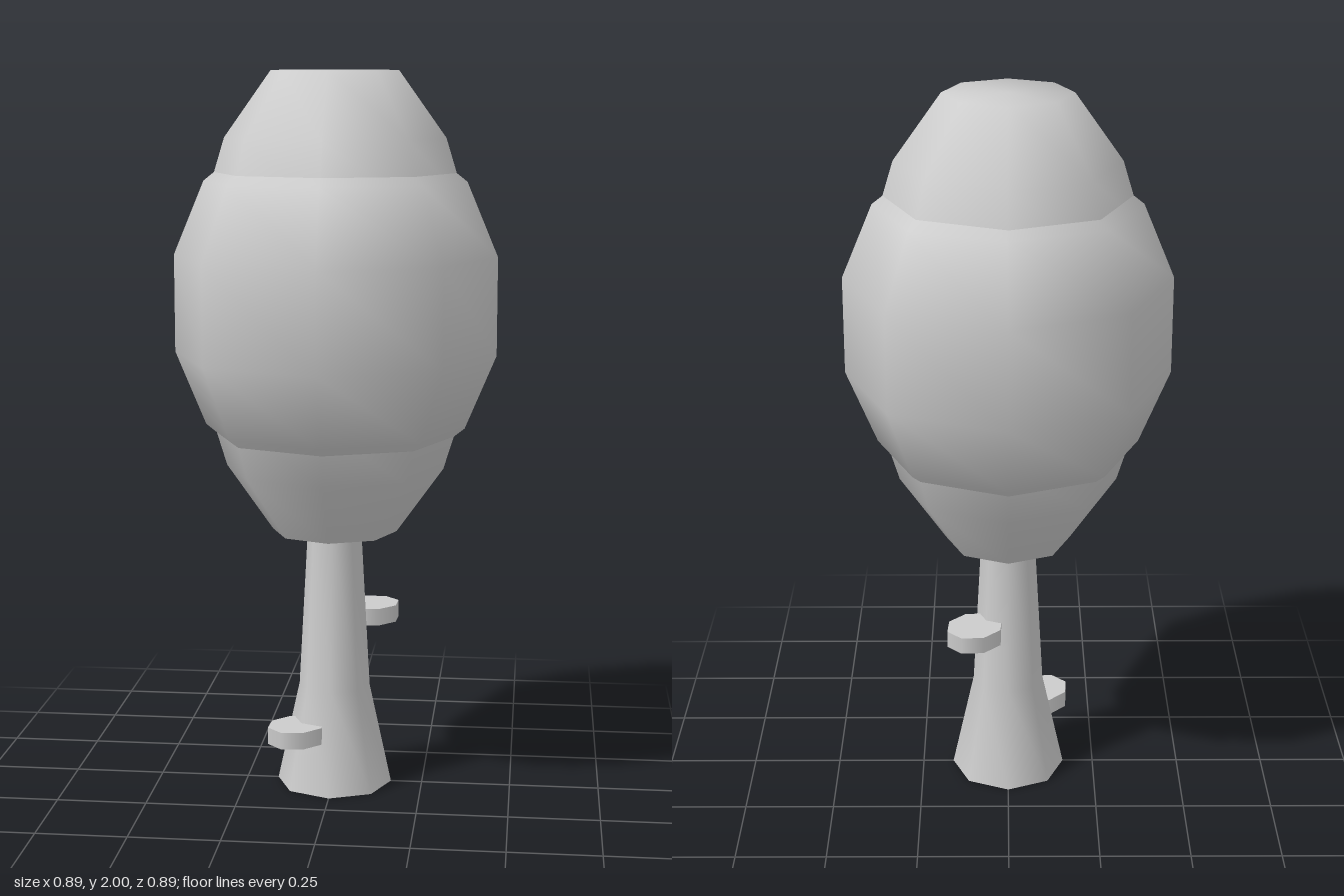
import * as THREE from 'three';

const SIDES = 8;
const material = new THREE.MeshStandardMaterial({ color: 0xcccccc });

// Eight-sided turned body; profile runs from bottom to top as [radius, y]
function turned(name, profile) {
  const points = profile.map(([r, y]) => new THREE.Vector2(r, y));
  const mesh = new THREE.Mesh(new THREE.LatheGeometry(points, SIDES), material);
  mesh.name = name;
  return mesh;
}

// Flat underside with a crisp edge, corners aligned with the turned bodies
function underside(name, radius, y) {
  const geometry = new THREE.CircleGeometry(radius, SIDES).rotateX(Math.PI / 2);
  const mesh = new THREE.Mesh(geometry, material);
  mesh.name = name;
  mesh.position.y = y;
  return mesh;
}

// Bracket fungus: an eight-sided disc, slightly longer away from the trunk
function shelf(name, x, y, z) {
  const geometry = new THREE.CylinderGeometry(0.076, 0.076, 0.048, SIDES);
  geometry.rotateY(Math.PI / 8).scale(1.13, 1, 1);
  const mesh = new THREE.Mesh(geometry, material);
  mesh.name = name;
  mesh.position.set(x, y, z);
  mesh.rotation.y = Math.atan2(-z, x);
  return mesh;
}

export function createModel() {
  const tree = new THREE.Group();
  tree.name = 'tree';

  // Trunk with flared foot
  tree.add(
    turned('trunk', [[0.162, 0], [0.1, 0.285], [0.074, 0.76]]),
    underside('trunkBase', 0.162, 0)
  );

  // Foliage: a wide middle with a smaller tuft above and below
  tree.add(
    turned('lowerFoliage', [[0.174, 0.732], [0.303, 0.912], [0.355, 1.08]]),
    underside('foliageBase', 0.174, 0.732),
    turned('middleFoliage', [
      [0.2, 0.9], [0.361, 1.027], [0.446, 1.23],
      [0.446, 1.5], [0.361, 1.703], [0.2, 1.83]
    ]),
    turned('upperFoliage', [[0.355, 1.65], [0.303, 1.82], [0.174, 2], [0, 2]])
  );

  // Shelf fungi on opposite sides of the trunk
  tree.add(
    shelf('upperShelf', 0.095, 0.475, -0.095),
    shelf('lowerShelf', -0.097, 0.167, 0.097)
  );
  return tree;
}
